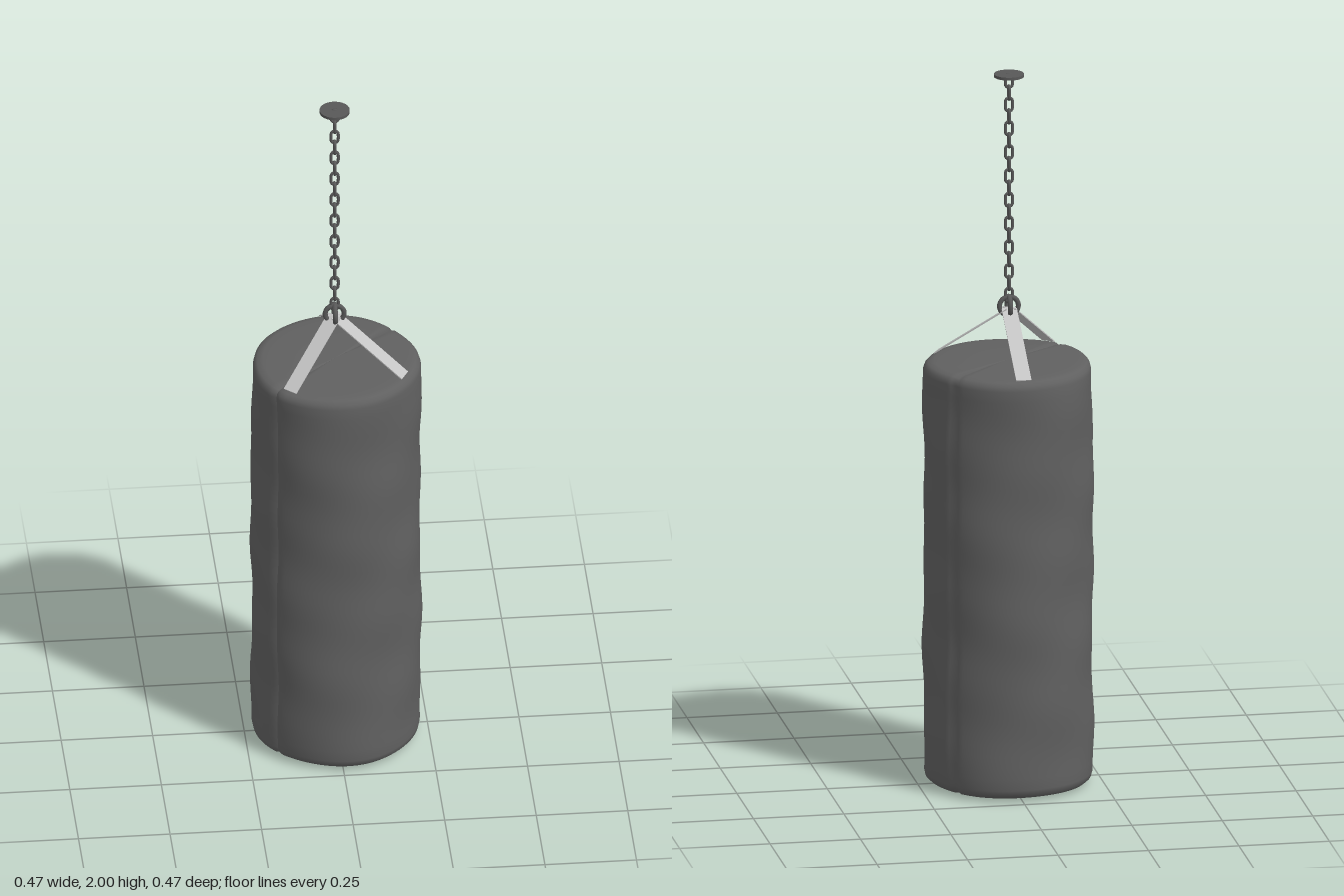
import * as THREE from 'three';

const CX = -0.004, CZ = 0.01; // hanging axis
const leather = new THREE.MeshStandardMaterial({ color: 0x606060 });
leather.name = 'greyLeather';
const metal = new THREE.MeshStandardMaterial({ color: 0x585858 });
metal.name = 'darkMetal';
const webbing = new THREE.MeshStandardMaterial({ color: 0xc4c4c4 });
webbing.name = 'paleWebbing';

function add(parent, name, geometry, material, x = 0, y = 0, z = 0) {
  const mesh = new THREE.Mesh(geometry, material);
  mesh.name = name;
  mesh.position.set(x, y, z);
  parent.add(mesh);
  return mesh;
}

// Stuffed cylinder with gentle lumps and a seam running round it
function bagGeometry() {
  const profile = [[0, 0.002], [0.08, 0.003], [0.16, 0.005], [0.2, 0.007], [0.216, 0.011], [0.226, 0.02], [0.23, 0.035]];
  const rows = 36;
  for (let i = 1; i < rows; i++) profile.push([0.23, 0.035 + (1.13 * i) / rows]);
  profile.push([0.23, 1.165], [0.226, 1.178], [0.217, 1.187], [0.2, 1.191], [0.16, 1.192], [0.08, 1.192], [0, 1.192]);
  const seamAngle = Math.atan2(-0.18, 0.15);
  const segments = 96;
  const geo = new THREE.LatheGeometry(profile.map(p => new THREE.Vector2(...p)), segments, seamAngle);
  const pos = geo.attributes.position;
  for (let i = 0; i < pos.count; i++) {
    const x = pos.getX(i), y = pos.getY(i), z = pos.getZ(i);
    const r = Math.hypot(x, z);
    if (r < 0.001) continue;
    const a = Math.atan2(x, z);
    const column = Math.floor(i / profile.length) % (segments / 2);
    const groove = column === 0 ? 1 : 0;
    const lump = 0.0022 * Math.sin(3 * a + 9 * y) + 0.0018 * Math.sin(5 * a - 17 * y + 1) + 0.0015 * Math.sin(2 * a + 29 * y);
    const scale = 1 + (lump - 0.006 * groove) / 0.23;
    pos.setXYZ(i, x * scale, y + (y > 1.18 ? -0.004 : y < 0.015 ? 0.004 : 0) * groove, z * scale);
  }
  geo.computeVertexNormals();
  return geo;
}

// Flat strap from the ring down to the rim of the bag
function addStrap(parent, name, x, z) {
  const top = new THREE.Vector3(CX, 1.335, CZ), end = new THREE.Vector3(x, 1.192, z);
  const strap = add(parent, name, new THREE.BoxGeometry(0.042, 0.003, top.distanceTo(end)), webbing);
  strap.position.copy(top).lerp(end, 0.5);
  strap.lookAt(end);
}

// Oval chain link: a closed tube standing upright
function linkGeometry() {
  const r = 0.0095, half = 0.0095, points = [];
  for (let i = 0; i < 16; i++) {
    const a = ((i + 0.5) / 16) * Math.PI * 2;
    points.push(new THREE.Vector3(r * Math.cos(a), r * Math.sin(a) + half * Math.sign(Math.sin(a)), 0));
  }
  return new THREE.TubeGeometry(new THREE.CatmullRomCurve3(points, true), 32, 0.0042, 8, true);
}

export function createModel() {
  const model = new THREE.Group();
  model.name = 'hangingPunchBag';

  add(model, 'bag', bagGeometry(), leather);

  addStrap(model, 'backStrap', CX, -0.215);
  addStrap(model, 'frontRightStrap', -0.14, 0.16);
  addStrap(model, 'frontLeftStrap', 0.178, 0.11);

  // Crossed rings joining the straps to the chain
  const ring = new THREE.TorusGeometry(0.026, 0.007, 10, 32);
  for (let i = 0; i < 2; i++) {
    add(model, 'ring' + (i + 1), ring, metal, CX, 1.34, CZ).rotation.y = (i * Math.PI) / 2;
  }

  // Chain of links turned a quarter at a time
  const chain = new THREE.Group();
  chain.name = 'chain';
  model.add(chain);
  const link = linkGeometry(), count = 19;
  for (let i = 0; i < count; i++) {
    const y = 1.977 - (0.606 * i) / (count - 1);
    add(chain, 'chainLink', link, metal, CX, y, CZ).rotation.y = i % 2 ? Math.PI / 2 : 0;
  }

  // Ceiling plate
  add(model, 'ceilingPlate', new THREE.CylinderGeometry(0.041, 0.041, 0.008, 40), metal, CX, 1.993, CZ);

  return model;
}
